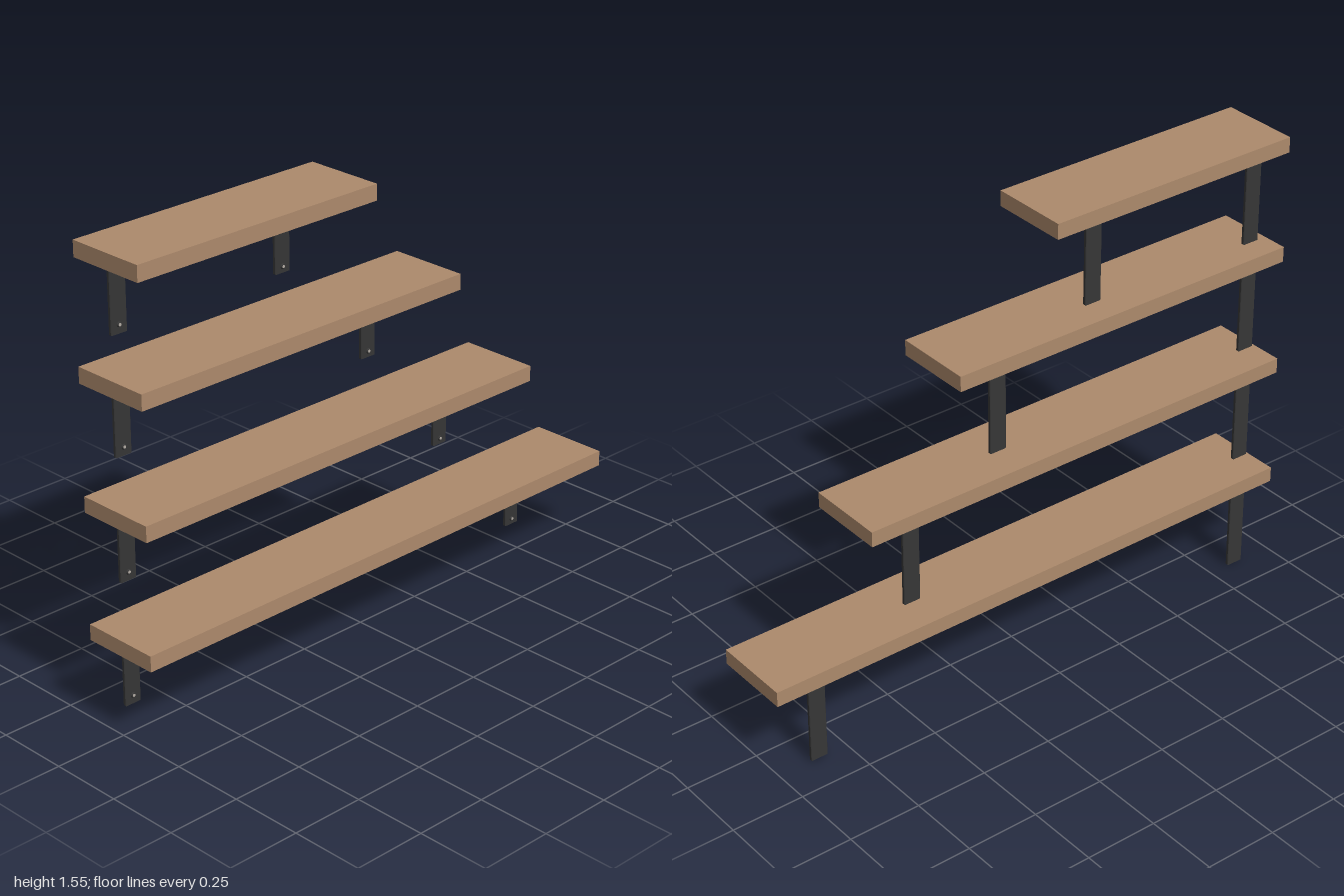
import * as THREE from 'three';

const wood = new THREE.MeshStandardMaterial({ color: 0xad8a6c });
wood.name = 'wood';
const blackMetal = new THREE.MeshStandardMaterial({ color: 0x363636 });
blackMetal.name = 'black metal';
const steel = new THREE.MeshStandardMaterial({ color: 0xb4aca4 });
steel.name = 'steel';

const LEFT = -1, DEPTH = 0.276, THICK = 0.053;
const BACK = -0.136, PLATE = 0.012, ARM_FRONT = 0.058, WIDTH = 0.061;

function mesh(name, geometry, material, x, y, z) {
  const m = new THREE.Mesh(geometry, material);
  m.name = name;
  m.position.set(x, y, z);
  return m;
}

// L-shaped strap: profile in (z, y) with its top at y = 0, extruded along x
function strapGeometry(drop) {
  const r = 0.004, zi = BACK + PLATE;
  const s = new THREE.Shape();
  s.moveTo(BACK, -drop);
  s.lineTo(zi, -drop);
  s.lineTo(zi, -PLATE - r);
  s.quadraticCurveTo(zi, -PLATE, zi + r, -PLATE);
  s.lineTo(ARM_FRONT, -PLATE);
  s.lineTo(ARM_FRONT, 0);
  s.lineTo(BACK + r, 0);
  s.quadraticCurveTo(BACK, 0, BACK, -r);
  s.closePath();
  const bevel = 0.002;
  const g = new THREE.ExtrudeGeometry(s, {
    depth: WIDTH - 2 * bevel, curveSegments: 4,
    bevelEnabled: true, bevelThickness: bevel, bevelSize: bevel, bevelOffset: -bevel, bevelSegments: 1,
  });
  g.translate(0, 0, -(WIDTH - 2 * bevel) / 2);
  g.rotateY(-Math.PI / 2);
  return g;
}

// Screw: dark round head with a small bright centre, facing +z
const headGeometry = new THREE.CylinderGeometry(0.007, 0.009, 0.004, 16).rotateX(Math.PI / 2);
const centreGeometry = new THREE.CylinderGeometry(0.005, 0.005, 0.001, 12).rotateX(Math.PI / 2);

function screw(y, z) {
  const g = new THREE.Group();
  g.name = 'screw';
  g.add(mesh('screwHead', headGeometry, blackMetal, 0, 0, 0.002));
  g.add(mesh('screwCentre', centreGeometry, steel, 0, 0, 0.0045));
  g.position.set(0, y, z);
  return g;
}

function bracket(name, x, y, drop) {
  const g = new THREE.Group();
  g.name = name;
  g.add(mesh('strap', strapGeometry(drop), blackMetal, 0, 0, 0));
  // wall screws near the top and foot of the strap
  for (const sy of [-0.02, -0.243]) g.add(screw(sy, BACK + PLATE));
  g.position.set(x, y, 0);
  return g;
}

export function createModel() {
  const model = new THREE.Group();
  model.name = 'steppedWallShelves';
  // right end, underside height and right bracket centre of each shelf
  const shelves = [
    [1, 0.273, 0.856],
    [0.637, 0.698, 0.492],
    [0.3, 1.112, 0.158],
    [-0.067, 1.501, -0.208],
  ];
  shelves.forEach(([right, y, bracketX], i) => {
    const shelf = new THREE.Group();
    shelf.name = `shelf${i + 1}`;
    const length = right - LEFT;
    shelf.add(mesh('plank', new THREE.BoxGeometry(length, THICK, DEPTH), wood,
      LEFT + length / 2, y + THICK / 2, 0));
    shelf.add(bracket('rightBracket', -0.855, y, 0.272));
    shelf.add(bracket('leftBracket', bracketX, y, 0.264));
    model.add(shelf);
  });
  return model;
}
